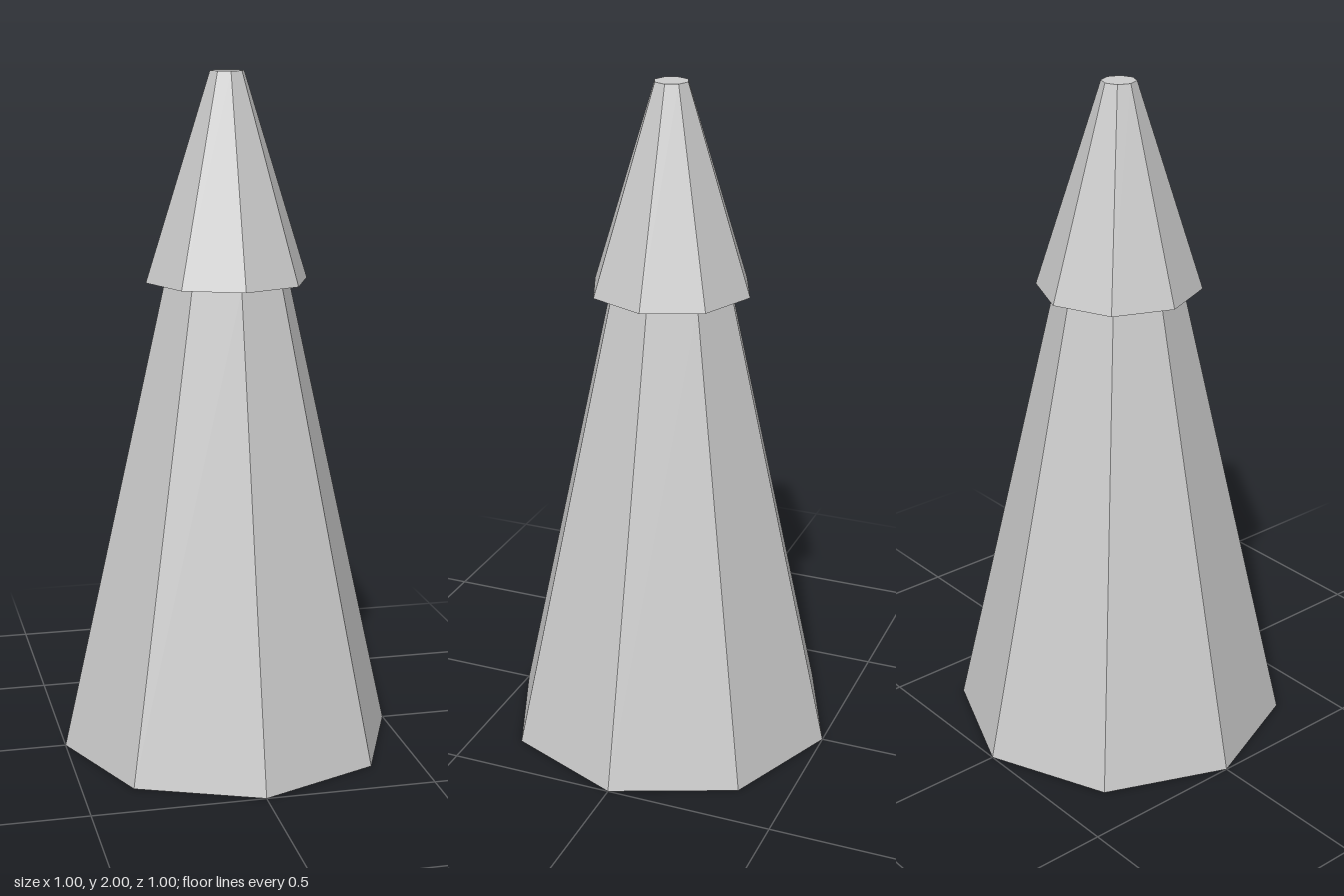
import * as THREE from 'three';

const SIDES = 8;

export function createModel() {
  const model = new THREE.Group();
  const material = new THREE.MeshStandardMaterial({ color: 0xcccccc, flatShading: true });

  // Closed eight-sided tapered section standing between two heights
  function addSection(name, bottomRadius, topRadius, bottomY, topY) {
    const height = topY - bottomY;
    const mesh = new THREE.Mesh(
      new THREE.CylinderGeometry(topRadius, bottomRadius, height, SIDES),
      material
    );
    mesh.name = name;
    mesh.position.y = bottomY + height / 2;
    model.add(mesh);
  }

  // Tall tapered body
  addSection('body', 0.5, 0.185, 0, 1.4);
  // Overhanging cap with a small flat tip
  addSection('cap', 0.24, 0.05, 1.4, 2);

  return model;
}
